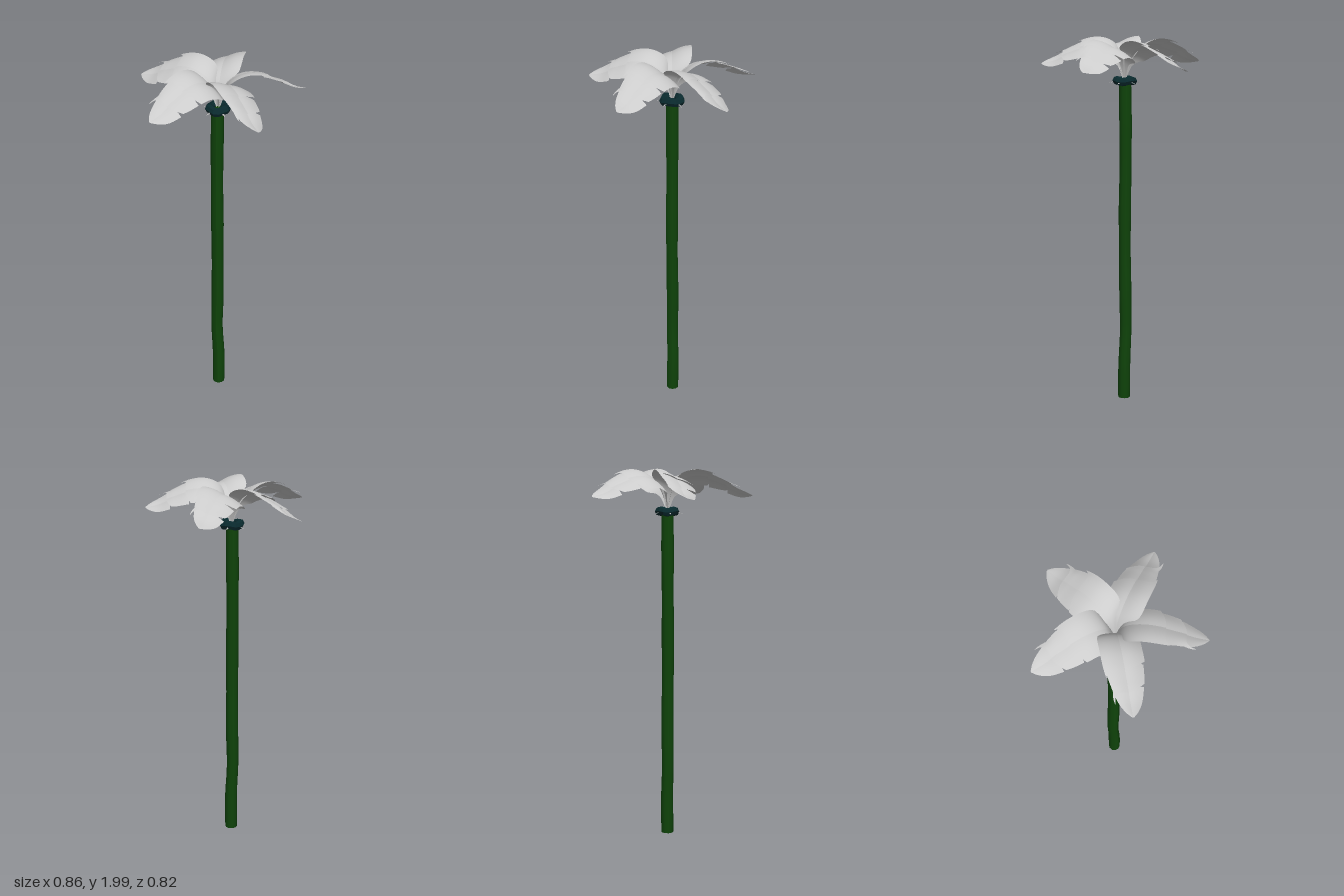
import * as THREE from 'three';

const CENTRE_Z = 0.04;

// Smooth interpolation through [r, value] pairs
function curve(points) {
  const path = new THREE.CatmullRomCurve3(points.map(([r, v]) => new THREE.Vector3(r, v, 0)), false, 'centripetal');
  const pts = path.getPoints(80);
  return (r) => {
    let i = 0;
    while (i < pts.length - 2 && pts[i + 1].x < r) i++;
    const t = THREE.MathUtils.clamp((r - pts[i].x) / (pts[i + 1].x - pts[i].x), 0, 1);
    return THREE.MathUtils.lerp(pts[i].y, pts[i + 1].y, t);
  };
}

// Midrib height and half width along a petal
const ribHeight = curve([[0.003, 1.79], [0.02, 1.86], [0.045, 1.913], [0.09, 1.948], [0.15, 1.963], [0.22, 1.953], [0.3, 1.92], [0.38, 1.88], [0.45, 1.862]]);
const halfWidth = curve([[0.003, 0.01], [0.025, 0.035], [0.042, 0.07], [0.06, 0.095], [0.15, 0.102], [0.25, 0.098], [0.33, 0.08], [0.39, 0.057], [0.43, 0.028], [0.45, 0.004]]);

// One overlapping band of a petal, rolled about the midrib so that its
// clockwise edge (u = 1) is high and the other edge (u = -1) is low.
// The halves do not share vertices, which keeps the midrib creased.
function petalBand({ start, end, widthScale, lift, sink, flare }) {
  const across = 8, along = 20, pos = [], index = [];
  for (const side of [-1, 0]) {
    const first = pos.length / 3;
    for (let j = 0; j <= along; j++) {
      const t = j / along;
      for (let i = 0; i <= across; i++) {
        const u = side + i / across;
        const r = THREE.MathUtils.lerp(start, end(u), t);
        const w = halfWidth(r) * widthScale * (u > 0 ? 1 + flare * Math.max(0, r - 0.33) : 1);
        const x = u * w;
        const bulge = 0.05 * w * Math.sin(Math.PI * Math.abs(u));
        const camber = (u < 0 ? 1.2 : 0.6) * x * x;
        pos.push(x, ribHeight(r) + 0.4 * x - camber + bulge + lift * t * t - sink * (1 - t), -r);
      }
    }
    const row = across + 1;
    for (let j = 0; j < along; j++) {
      for (let i = 0; i < across; i++) {
        const a = first + j * row + i;
        index.push(a, a + 1, a + row, a + 1, a + row + 1, a + row);
      }
    }
  }
  const geo = new THREE.BufferGeometry();
  geo.setAttribute('position', new THREE.Float32BufferAttribute(pos, 3));
  geo.setIndex(index);
  geo.computeVertexNormals();
  return geo;
}

export function createModel() {
  const group = new THREE.Group();
  const petalMat = new THREE.MeshStandardMaterial({ color: 0xcccccc, side: THREE.DoubleSide });
  const stemMat = new THREE.MeshStandardMaterial({ color: 0x0f430a });
  const collarMat = new THREE.MeshStandardMaterial({ color: 0x0a2a2e, flatShading: true });
  const add = (parent, geo, mat, name) => {
    const mesh = new THREE.Mesh(geo, mat);
    mesh.name = name;
    parent.add(mesh);
    return mesh;
  };

  // Slightly crooked stem
  const stemGeo = new THREE.CylinderGeometry(0.033, 0.033, 1.77, 10, 28);
  stemGeo.translate(0, 0.893, 0);
  const swayX = curve([[0, 0.003], [0.2, 0.003], [0.4, -0.007], [0.6, -0.004], [1, -0.003], [1.4, -0.006], [1.78, -0.003]]);
  const swayZ = curve([[0, 0.003], [0.3, 0], [0.6, -0.001], [1, 0.002], [1.4, -0.002], [1.78, -0.002]]);
  const p = stemGeo.attributes.position;
  for (let i = 0; i < p.count; i++) {
    const y = p.getY(i);
    const swell = 1 + 0.03 * Math.sin(y * 13);
    p.setX(i, p.getX(i) * swell + swayX(y));
    p.setZ(i, p.getZ(i) * swell + swayZ(y) + CENTRE_Z);
  }
  stemGeo.computeVertexNormals();
  add(group, stemGeo, stemMat, 'stem');

  // Lumpy collar under the flower head
  const collarGeo = new THREE.TorusGeometry(0.042, 0.023, 7, 14);
  collarGeo.rotateX(Math.PI / 2);
  const c = collarGeo.attributes.position;
  for (let i = 0; i < c.count; i++) {
    const a = Math.atan2(c.getZ(i), c.getX(i));
    const k = 1 + 0.05 * Math.sin(a * 5);
    c.setXYZ(i, c.getX(i) * k, c.getY(i) + 0.004 * Math.sin(a * 3), c.getZ(i) * k);
  }
  const collar = add(group, collarGeo, collarMat, 'collar');
  collar.position.set(0, 1.778, CENTRE_Z);

  // Three bands per petal, with ragged overlapping ends
  const bands = [
    { start: 0.003, end: (u) => 0.24 + (u > 0 ? 0.035 * u ** 6 : -0.035 * u * u), widthScale: 1, lift: 0.007, sink: 0, flare: 0 },
    { start: 0.215, end: (u) => 0.34 + (u > 0 ? 0.052 * u ** 6 : -0.035 * u * u), widthScale: 0.92, lift: 0.008, sink: 0.004, flare: 6.5 },
    { start: 0.315, end: () => 0.45, widthScale: 0.92, lift: 0, sink: 0.003, flare: 0 },
  ].map(petalBand);

  // Short pointed sepal tip
  const sepalGeo = new THREE.ConeGeometry(0.014, 0.06, 4);
  sepalGeo.scale(1, 1, 0.25);
  sepalGeo.rotateX(-Math.PI / 2 - 0.25);
  sepalGeo.translate(0, 1.772, -0.055);

  for (let k = 0; k < 5; k++) {
    const petal = new THREE.Group();
    petal.name = 'petal';
    petal.position.z = CENTRE_Z;
    petal.rotation.y = (k * Math.PI * 2) / 5;
    bands.forEach((geo, i) => add(petal, geo, petalMat, ['petalBase', 'petalMiddle', 'petalTip'][i]));
    add(petal, sepalGeo, petalMat, 'sepal');
    group.add(petal);
  }
  return group;
}
